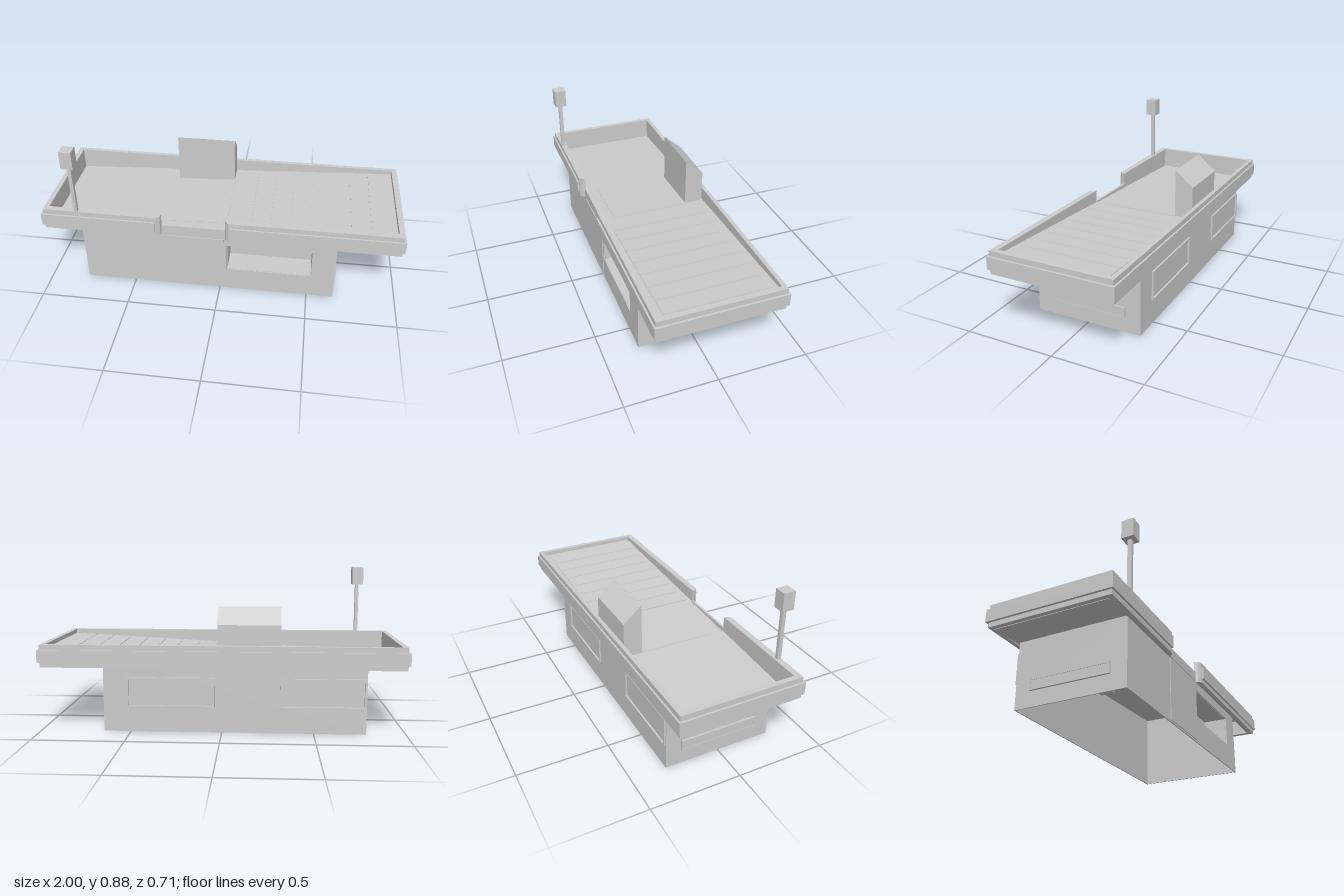
import * as THREE from 'three';

const grey = new THREE.MeshStandardMaterial({ color: 0xcccccc, flatShading: true, side: THREE.DoubleSide });
const SLOPE = 0.052;
const floorY = (x) => 0.411 + SLOPE * x;

function add(parent, name, geometry) {
  const mesh = new THREE.Mesh(geometry, grey);
  mesh.name = name;
  parent.add(mesh);
  return mesh;
}

// Box given by its lower and upper limits on each axis
function box(parent, name, x0, x1, y0, y1, z0, z1) {
  const mesh = add(parent, name, new THREE.BoxGeometry(x1 - x0, y1 - y0, z1 - z0));
  mesh.position.set((x0 + x1) / 2, (y0 + y1) / 2, (z0 + z1) / 2);
  return mesh;
}

const polygon = (pts) => new THREE.Shape(pts.map(([x, y]) => new THREE.Vector2(x, y)));
const rect = (x0, x1, y0, y1) => polygon([[x0, y0], [x1, y0], [x1, y1], [x0, y1]]);
const extrude = (shape, depth) => new THREE.ExtrudeGeometry(shape, { depth, bevelEnabled: false });

// Plan outline (x, z) raised between two heights
function slab(parent, name, points, y0, y1) {
  const geometry = extrude(polygon(points), y1 - y0).rotateX(Math.PI / 2).translate(0, y1, 0);
  return add(parent, name, geometry);
}

// Thin rectangular border standing in the xy plane
function frame(width, height, border, depth) {
  const shape = rect(-width / 2, width / 2, -height / 2, height / 2);
  shape.holes.push(rect(-width / 2 + border, width / 2 - border, -height / 2 + border, height / 2 - border));
  return extrude(shape, depth);
}

function makeTray() {
  const tray = new THREE.Group();
  tray.name = 'tray';

  // Raised rim, open in front of the cashier
  slab(tray, 'rim', [
    [-0.325, 0.3], [-0.33, 0.32], [-0.35, 0.335], [-0.988, 0.335], [-0.988, -0.345],
    [0.988, -0.345], [0.988, 0.335], [0.055, 0.335], [0.035, 0.32], [0.03, 0.3],
    [0.96, 0.3], [0.96, -0.322], [-0.96, -0.322], [-0.96, 0.3],
  ], 0.36, 0.485);

  // Bumper band around the rim
  slab(tray, 'bumper', [
    [-0.355, 0.33], [-0.355, 0.345], [-1, 0.345], [-1, -0.355], [1, -0.355], [1, 0.345],
    [0.06, 0.345], [0.06, 0.33], [0.985, 0.33], [0.985, -0.34], [-0.985, -0.34], [-0.985, 0.33],
  ], 0.387, 0.456);

  box(tray, 'frontLip', -0.325, 0.03, 0.365, 0.42, 0.295, 0.308);

  // Sloping floor with belt and scanner plate lying on it
  const deck = new THREE.Group();
  deck.name = 'slopingDeck';
  deck.position.y = floorY(0);
  deck.rotation.z = Math.atan(SLOPE);
  tray.add(deck);
  box(deck, 'floor', -0.965, 0.965, -0.004, 0, -0.325, 0.303);
  box(deck, 'scannerPlate', -0.32, 0.03, 0, 0.002, -0.21, 0.23);
  const slats = 8, start = 0.06, pitch = 0.109;
  for (let i = 0; i < slats; i++) {
    const x = start + i * pitch;
    box(deck, 'beltSlat', x, x + pitch - 0.003, 0, 0.003, -0.29, 0.275);
  }
  return tray;
}

function makeCabinet() {
  const cabinet = new THREE.Group();
  cabinet.name = 'cabinet';
  const left = -0.785, right = 0.65, half = 0.305, t = 0.006;

  // Front and back walls follow the sloping floor; the front one has a niche
  const outline = () => polygon([[left, 0], [right, 0], [right, floorY(right) - 0.003], [left, floorY(left) - 0.003]]);
  const front = outline();
  front.holes.push(rect(0.04, 0.52, 0.14, 0.31));
  add(cabinet, 'frontWall', extrude(front, t)).position.z = half - t;
  add(cabinet, 'backWall', extrude(outline(), t)).position.z = -half;

  // Niche lining
  const back = 0.165;
  box(cabinet, 'nicheBack', 0.04, 0.52, 0.14, 0.31, back - t, back);
  for (const y of [0.14, 0.31]) box(cabinet, 'nicheShelf', 0.04, 0.52, y - t / 2, y + t / 2, back, half - t);
  for (const x of [0.04, 0.52]) box(cabinet, 'nicheSide', x - t / 2, x + t / 2, 0.14, 0.31, back, half - t);

  // End walls with bumper strips
  for (const [x, dir] of [[left, 1], [right, -1]]) {
    const inner = x + dir * t, outer = x - dir * 0.01;
    box(cabinet, 'endWall', Math.min(x, inner), Math.max(x, inner), 0, floorY(x) - 0.003, -half + t, half - t);
    box(cabinet, 'endPanel', Math.min(x, outer), Math.max(x, outer), 0.092, 0.138, -0.213, 0.213)
      .scale.x = 0.6;
    const border = add(cabinet, 'endPanelFrame', frame(0.44, 0.06, 0.007, 0.01));
    border.rotation.y = -dir * Math.PI / 2;
    border.position.set(x, 0.115, 0);
  }

  // Door below the cashier opening
  box(cabinet, 'door', -0.318, 0.024, 0.01, 0.352, half, 0.309);

  // Framed panels on the back
  for (const [x0, x1] of [[0.04, 0.52], [-0.78, -0.32]]) {
    add(cabinet, 'backPanelFrame', frame(x1 - x0, 0.165, 0.009, 0.011))
      .position.set((x0 + x1) / 2, 0.2225, -0.315);
  }
  return cabinet;
}

export function createModel() {
  const model = new THREE.Group();
  model.name = 'checkoutCounter';
  model.add(makeTray(), makeCabinet());

  // Console with a top sloping down to the back, profile in (z, y)
  const profile = polygon([[0.21, 0.39], [0.315, 0.39], [0.315, 0.595], [0.21, 0.685]]);
  const consoleGeometry = extrude(profile, 0.342).rotateY(Math.PI / 2).translate(-0.32, 0, 0);
  add(model, 'console', consoleGeometry);

  // Number lamp on its post
  box(model, 'lampPost', -0.809, -0.789, 0.484, 0.78, 0.311, 0.333);
  box(model, 'lampBox', -0.833, -0.767, 0.775, 0.877, 0.289, 0.356);
  return model;
}
